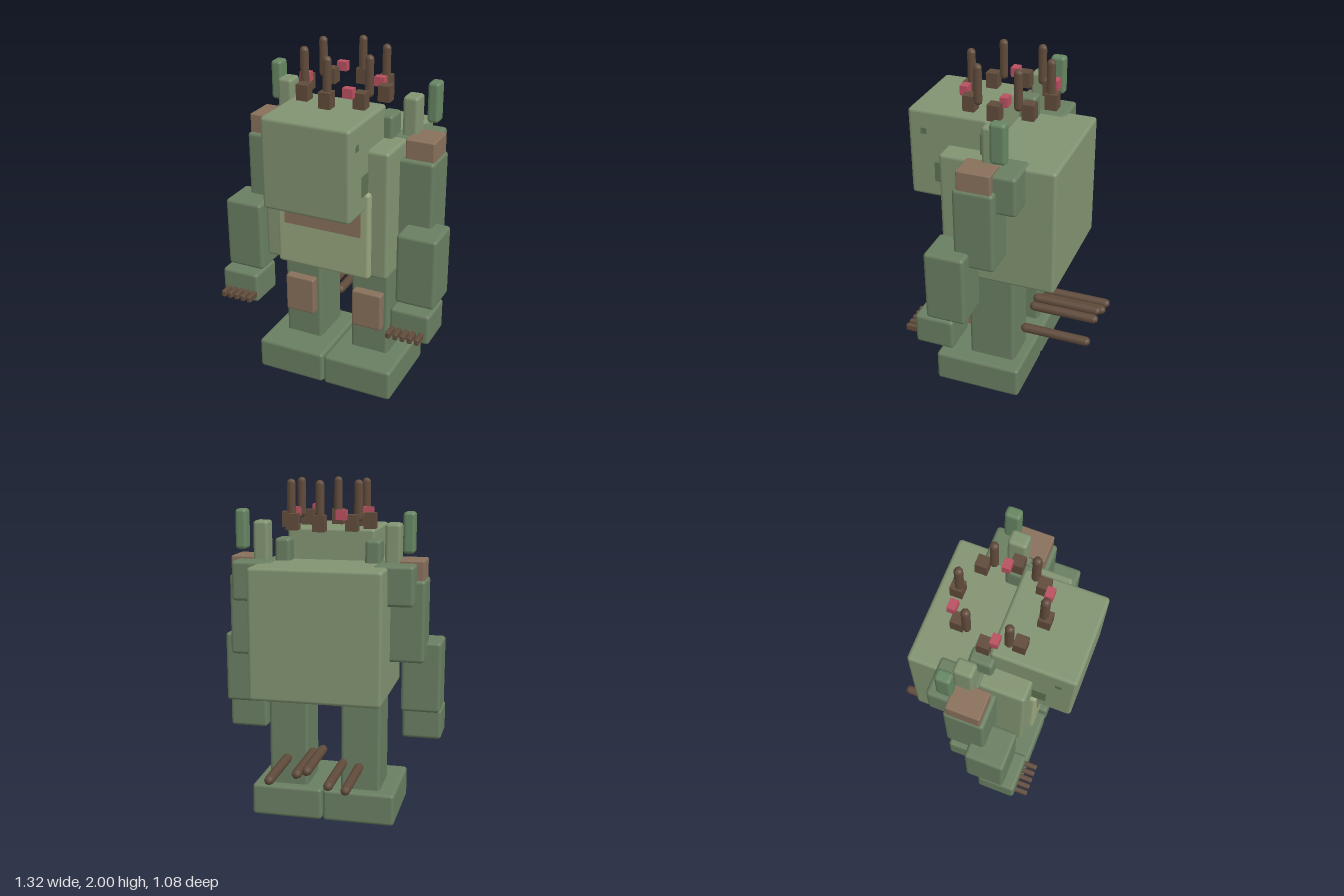
import * as THREE from 'three';
import { RoundedBoxGeometry } from 'three/addons/geometries/RoundedBoxGeometry.js';

const mat = (color) => new THREE.MeshStandardMaterial({ color });
const MOSS = mat(0x819371), DARK = mat(0x697e61), BELLY = mat(0x96a47c);
const SPROUT = mat(0x668562), BARK = mat(0x88705b), WOOD = mat(0x604b3b), RED = mat(0xb8505f);
const SHADE = mat(0x5d7153);

export function createModel() {
  const model = new THREE.Group();

  const add = (name, geometry, material, x, y, z) => {
    const mesh = new THREE.Mesh(geometry, material);
    mesh.name = name;
    mesh.position.set(x, y, z);
    model.add(mesh);
    return mesh;
  };
  // Box given by its [min, max] on each axis; radius 0 gives sharp edges
  const box = (name, material, [x0, x1], [y0, y1], [z0, z1], radius = 0.02) => {
    const size = [x1 - x0, y1 - y0, z1 - z0];
    const geometry = radius
      ? new RoundedBoxGeometry(...size, 2, radius)
      : new THREE.BoxGeometry(...size);
    return add(name, geometry, material, (x0 + x1) / 2, (y0 + y1) / 2, (z0 + z1) / 2);
  };
  // The same box on both sides of the body
  const pair = (name, material, [x0, x1], y, z, radius) => {
    box(name + 'Left', material, [x0, x1], y, z, radius);
    box(name + 'Right', material, [-x1, -x0], y, z, radius);
  };
  const twig = (name, radius, length, x, y, z) =>
    add(name, new THREE.CapsuleGeometry(radius, length - 2 * radius, 3, 8), WOOD, x, y, z);

  // Body and head
  box('torso', MOSS, [-0.38, 0.38], [0.77, 1.53], [-0.36, 0.31]);
  box('belly', BELLY, [-0.285, 0.285], [0.768, 1.29], [0.05, 0.345]);
  box('bellyPatch', BARK, [-0.235, 0.235], [1.025, 1.2], [0.3, 0.348], 0);
  box('head', MOSS, [-0.26, 0.26], [1.19, 1.715], [0.065, 0.54]);
  pair('eye', SHADE, [0.22, 0.263], [1.575, 1.61], [0.43, 0.465], 0);
  pair('cheek', SHADE, [0.22, 0.263], [1.29, 1.41], [0.31, 0.39], 0);

  // Shoulders with the growths on them
  pair('shoulder', DARK, [0.3, 0.525], [1.31, 1.54], [-0.19, 0.06]);
  pair('shoulderBark', BARK, [0.4, 0.565], [1.42, 1.555], [-0.063, 0.13], 0.008);
  pair('innerSprout', DARK, [0.22, 0.31], [1.42, 1.66], [-0.035, 0.1]);
  pair('middleSprout', MOSS, [0.34, 0.43], [1.5, 1.76], [-0.07, 0.04]);
  pair('outerSprout', SPROUT, [0.45, 0.517], [1.6, 1.83], [-0.13, -0.04]);

  // Arms, hands and fingers
  pair('upperArm', DARK, [0.345, 0.575], [0.97, 1.445], [-0.08, 0.153]);
  pair('forearm', DARK, [0.425, 0.658], [0.64, 1.065], [0.063, 0.298]);
  pair('hand', DARK, [0.425, 0.66], [0.455, 0.64], [0.138, 0.368]);
  for (let i = 0; i < 5; i++) {
    const x = 0.446 + i * 0.0425;
    pair('finger' + (i + 1), WOOD, [x - 0.014, x + 0.014], [0.49, 0.53], [0.34, 0.445], 0.008);
  }

  // Legs and feet
  pair('leg', DARK, [0.1, 0.335], [0.17, 0.79], [-0.105, 0.175]);
  pair('kneeBark', BARK, [0.125, 0.31], [0.37, 0.605], [0.15, 0.225], 0.012);
  pair('foot', DARK, [0.004, 0.43], [0, 0.193], [-0.165, 0.36]);

  // Twigs pointing backwards behind the legs
  for (const [x, y] of [[-0.217, 0.342], [-0.12, 0.36], [0, 0.437], [0.058, 0.415], [0.217, 0.365]])
    twig('backTwig', 0.028, 0.43, x, y, -0.325).rotation.x = Math.PI / 2;

  // Crown: a ring of stumps, upright twigs and red blossoms
  for (let i = 0; i < 8; i++) {
    const a = (i * Math.PI) / 4;
    add('crownStump', new THREE.BoxGeometry(0.068, 0.09, 0.068), WOOD,
      0.24 * Math.sin(a), 1.765, 0.033 + 0.24 * Math.cos(a));
  }
  for (let i = 0; i < 6; i++) {
    const a = (i * Math.PI) / 3;
    twig('crownTwig', 0.025, 0.235, 0.223 * Math.sin(a), 1.8825, 0.033 + 0.23 * Math.cos(a));
  }
  for (const [x, z] of [[-0.12, -0.185], [0.19, -0.008], [-0.217, 0.083], [0.12, 0.25]])
    add('blossom', new THREE.BoxGeometry(0.06, 0.054, 0.045), RED, x, 1.812, z);

  return model;
}
